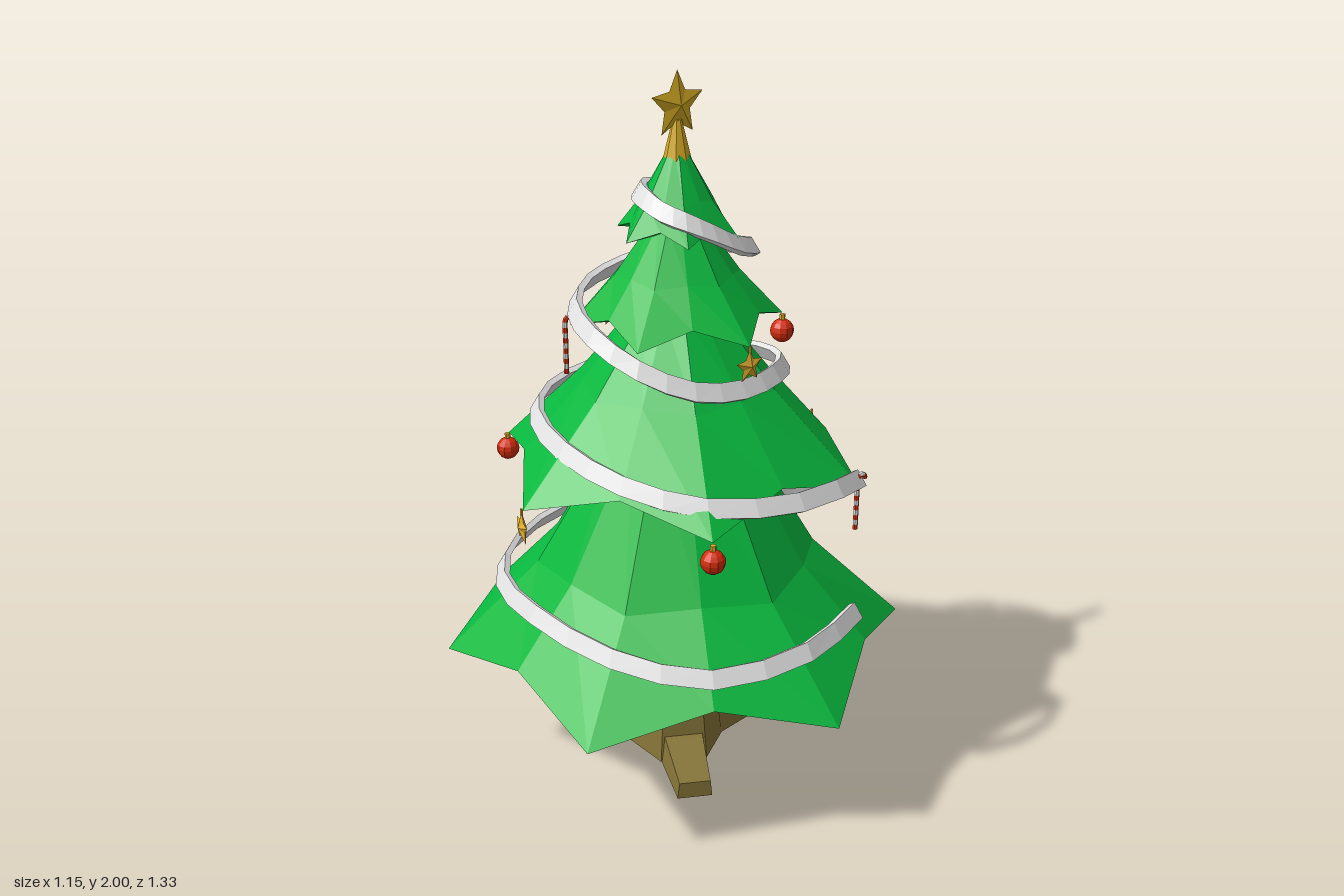
import * as THREE from 'three';

const mat = (name, color) => {
  const m = new THREE.MeshStandardMaterial({ color, flatShading: true });
  m.name = name;
  return m;
};
const rad = THREE.MathUtils.degToRad;
const V = (x, y, z) => new THREE.Vector3(x, y, z);
const polar = (r, deg, y) => V(r * Math.cos(rad(deg)), y, r * Math.sin(rad(deg)));

// Skin a series of closed cross-sections; optionally close both ends.
function loft(rings, capped = false) {
  const pos = [];
  const tri = (a, b, c) => {
    if (a.distanceTo(b) < 1e-6 || b.distanceTo(c) < 1e-6 || a.distanceTo(c) < 1e-6) return;
    for (const p of [a, b, c]) pos.push(p.x, p.y, p.z);
  };
  const n = rings[0].length;
  for (let j = 0; j < rings.length - 1; j++) {
    for (let i = 0; i < n; i++) {
      const k = (i + 1) % n, lo = rings[j], hi = rings[j + 1];
      tri(lo[i], hi[i], hi[k]);
      tri(lo[i], hi[k], lo[k]);
    }
  }
  if (capped) {
    const first = rings[0], last = rings[rings.length - 1];
    for (let i = 1; i < n - 1; i++) {
      tri(first[0], first[i], first[i + 1]);
      tri(last[0], last[i + 1], last[i]);
    }
  }
  const g = new THREE.BufferGeometry();
  g.setAttribute('position', new THREE.Float32BufferAttribute(pos, 3));
  g.computeVertexNormals();
  return g;
}

// One layer of branches: six drooping points with raised valleys between.
function tierGeometry(turn, rows) {
  return loft(rows.map(([rPoint, yPoint, rValley, yValley]) =>
    Array.from({ length: 12 }, (_, i) => i % 2
      ? polar(rValley, turn + i * 30, yValley)
      : polar(rPoint, turn + i * 30, yPoint))));
}

// Five-pointed star, thick in the middle and sharp at the outline.
function starGeometry(r, depth) {
  const ring = (s, z) => Array.from({ length: 10 }, (_, i) => {
    const q = s * (i % 2 ? r * 0.5 : r), a = i * Math.PI / 5;
    return V(q * Math.sin(a), q * Math.cos(a), z);
  });
  return loft([ring(0, -depth), ring(1, 0), ring(0, depth)]);
}

// Garland radius and height at every 30 degrees, from the top down.
const GARLAND = [
  [.10, 1.68], [.10, 1.69], [.10, 1.69], [.10, 1.68], [.11, 1.66], [.13, 1.64],
  [.145, 1.605], [.17, 1.56], [.205, 1.53], [.215, 1.505], [.225, 1.49], [.245, 1.46],
  [.255, 1.43], [.265, 1.41], [.275, 1.385], [.28, 1.35], [.28, 1.29], [.275, 1.235],
  [.265, 1.215], [.275, 1.215], [.295, 1.2], [.315, 1.175], [.335, 1.15], [.365, 1.12],
  [.39, 1.09], [.395, 1.08], [.385, 1.08], [.385, 1.06], [.40, 1.02], [.45, .99],
  [.49, .975], [.52, .95], [.46, .80], [.42, .71], [.465, .66], [.505, .61],
  [.535, .58], [.515, .575], [.50, .59], [.495, .61], [.495, .565], [.535, .54],
  [.54, .555], [.53, .545],
];

export function createModel() {
  const tree = new THREE.Group();
  tree.name = 'decoratedTree';
  const green = mat('needleGreen', 0x08b83e);
  const white = mat('garlandWhite', 0xe2e2e2);
  const gold = mat('topperGold', 0xd4aa22);
  const amber = mat('ornamentGold', 0xdfac2e);
  const red = mat('ornamentRed', 0xd42c0a);
  const bark = mat('barkBrown', 0x8f7350);
  const wood = mat('standWood', 0x857438);

  const add = (name, geo, material, parent = tree, x = 0, y = 0, z = 0) => {
    const m = new THREE.Mesh(geo, material);
    m.name = name;
    m.position.set(x, y, z);
    parent.add(m);
    return m;
  };

  // Stand with three feet
  add('standBody', new THREE.CylinderGeometry(.112, .137, .22, 6), wood, tree, 0, .11, 0);
  const legRing = (x, w, wTop, h) => [V(x, 0, -w), V(x, 0, w), V(x, h, wTop), V(x, h, -wTop)];
  for (let i = 0; i < 3; i++) {
    const leg = add('standFoot', loft([
      legRing(.08, .066, .06, .085), legRing(.13, .066, .055, .078), legRing(.3, .05, .045, .05),
    ], true), wood);
    leg.rotation.y = i * Math.PI * 2 / 3;
  }

  // Trunk
  add('trunk', new THREE.CylinderGeometry(.097, .08, .2, 6), bark, tree, 0, .31, 0);

  // Branch tiers: point radius, point height, valley radius, valley height
  const tiers = [
    [30, [[0, .385, 0, .385], [.665, .38, .56, .46], [.40, .64, .375, .66], [.17, 1.03, .16, 1.03], [0, 1.1, 0, 1.1]]],
    [0, [[0, .935, 0, .935], [.52, .93, .425, .99], [.28, 1.17, .26, 1.18], [.11, 1.38, .10, 1.38], [0, 1.43, 0, 1.43]]],
    [30, [[0, 1.345, 0, 1.345], [.29, 1.34, .23, 1.385], [.17, 1.47, .155, 1.48], [.07, 1.61, .065, 1.61], [0, 1.64, 0, 1.64]]],
    [0, [[0, 1.585, 0, 1.585], [.17, 1.58, .125, 1.61], [.10, 1.67, .09, 1.68], [.025, 1.8, .022, 1.8], [0, 1.81, 0, 1.81]]],
  ];
  for (const [turn, rows] of tiers) add('branchTier', tierGeometry(turn, rows), green);

  // Star on a small cone
  add('topperCone', new THREE.CylinderGeometry(.012, .037, .1, 8), gold, tree, 0, 1.825, 0);
  add('topperStar', starGeometry(.088, .017), gold, tree, 0, 1.912, 0);

  // Garland: a slanted flat band winding down the tree
  const path = new THREE.CatmullRomCurve3(GARLAND.map(([r, y], k) => polar(r, 270 - 30 * k, y)));
  const rings = path.getPoints((GARLAND.length - 1) * 2).map((p) => {
    const out = V(p.x, 0, p.z).normalize();
    const corner = (o, u) => p.clone().addScaledVector(out, .85 * o - .5 * u).add(V(0, .5 * o + .85 * u, 0));
    const t = .009, h = .026;
    return [corner(-t, -h), corner(t, -h), corner(t, h), corner(-t, h)];
  });
  add('garland', loft(rings, true), white);

  // Ornaments hang from the branch points
  const hang = (name, r, deg, y) => {
    const g = new THREE.Group();
    g.name = name;
    g.position.copy(polar(r, deg, y));
    tree.add(g);
    return g;
  };
  const bauble = (r, deg, y) => {
    const g = hang('bauble', r, deg, y);
    add('baubleBall', new THREE.SphereGeometry(.033, 10, 8), red, g, 0, -.05, 0);
    add('baubleCap', new THREE.CylinderGeometry(.008, .008, .016, 6), amber, g, 0, -.012, 0);
  };
  const star = (r, deg, y, twist) => {
    const g = hang('starOrnament', r, deg, y);
    g.rotation.y = Math.PI / 2 - rad(deg) + twist;
    add('hangingStar', starGeometry(.046, .012), amber, g, 0, -.052, 0);
    add('starHook', new THREE.CylinderGeometry(.004, .004, .02, 5), amber, g, 0, -.008, 0);
  };
  const cane = (r, deg, y) => {
    const g = hang('candyCane', r, deg, y);
    const pts = [V(-.014, -.145, 0), V(-.014, -.1, 0), V(-.014, -.05, 0), V(-.014, 0, 0)];
    for (let i = 1; i <= 5; i++) {
      const a = Math.PI * (1 - i / 5);
      pts.push(V(.014 * Math.cos(a), .014 * Math.sin(a), 0));
    }
    // Two tube segments to each stripe
    const geo = new THREE.TubeGeometry(new THREE.CatmullRomCurve3(pts), 26, .007, 6);
    for (let j = 0; j < 13; j++) geo.addGroup(j * 72, 72, j % 2);
    add('stripedCane', geo, [red, white], g);
  };

  bauble(.29, 30, 1.34);
  star(.29, 90, 1.34, 0);
  star(.29, 270, 1.34, .18);
  cane(.29, 210, 1.35);
  bauble(.525, 120, .93);
  bauble(.525, 240, .93);
  cane(.525, 60, .95);
  cane(.525, 300, .93);
  star(.525, 0, .935, -.3);
  star(.525, 180, .935, -.3);

  return tree;
}
